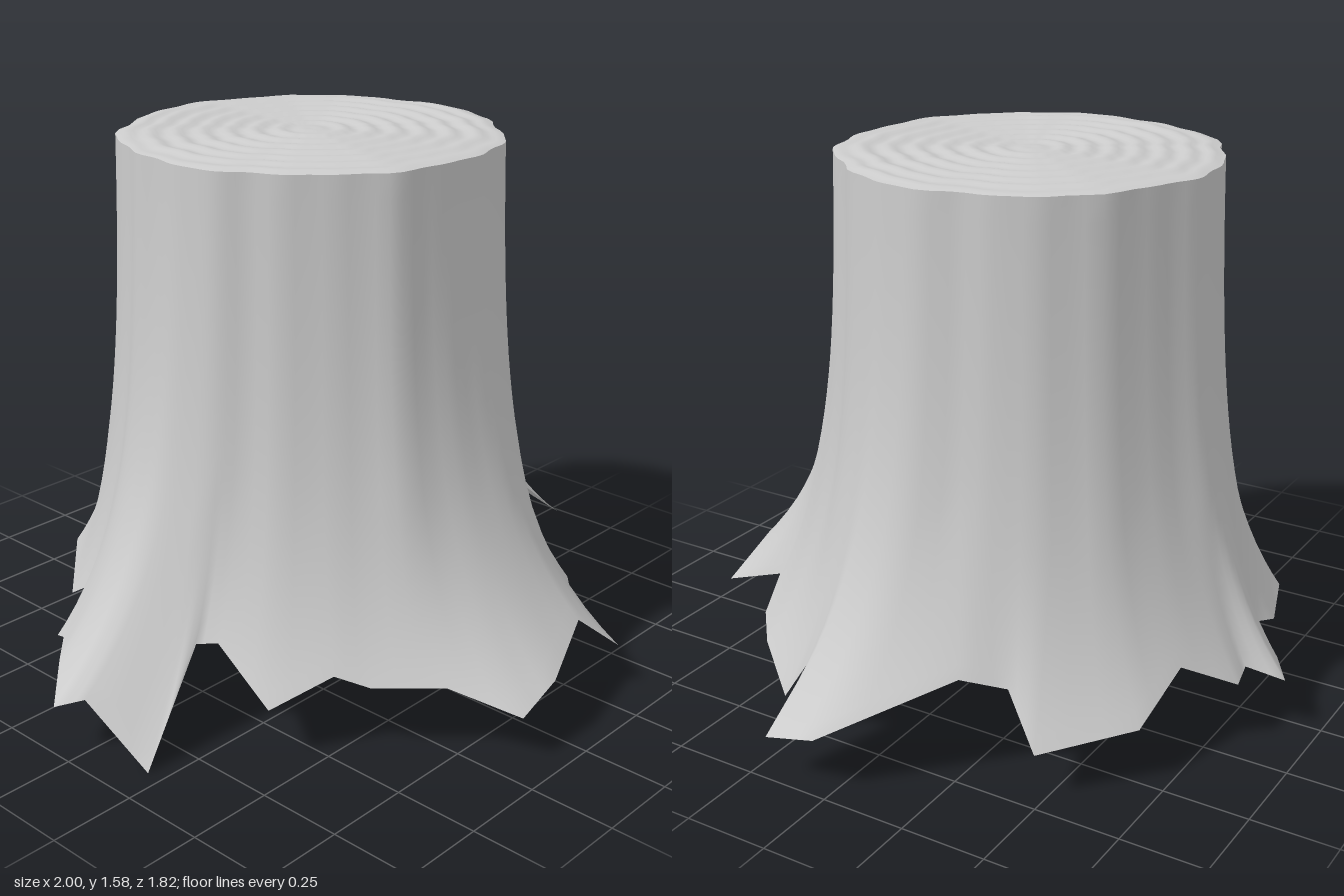
import * as THREE from 'three';

const CX = 0.02, CZ = -0.05;      // trunk axis
const TOP = 1.565, RADIUS = 0.532; // cut height and trunk radius

// Torn lower edge of the bark: x, z, y
const RIM = [
  [1.0, 0.03, 0.17], [1.0, 0.19, 0.13], [0.81, 0.17, 0.29], [0.78, 0.30, 0.11],
  [0.60, 0.51, 0.14], [0.46, 0.63, 0.14], [0.37, 0.64, 0.23], [0.34, 0.87, 0.14],
  [0.20, 0.82, 0.26], [-0.02, 0.90, 0.19], [-0.17, 0.905, 0.14], [-0.28, 0.73, 0.21],
  [-0.42, 0.58, 0.21], [-0.48, 0.50, 0.24], [-0.63, 0.40, 0.16], [-0.64, 0.22, 0.30],
  [-0.67, 0.165, 0.29], [-0.89, 0.20, 0.0], [-0.94, 0.01, 0.17], [-1.0, -0.05, 0.15],
  [-0.88, -0.17, 0.20], [-0.77, -0.29, 0.18], [-0.73, -0.37, 0.14], [-0.62, -0.33, 0.28],
  [-0.59, -0.47, 0.19], [-0.38, -0.70, 0.22], [-0.20, -0.76, 0.20], [-0.10, -0.74, 0.23],
  [0.01, -0.86, 0.20], [0.07, -0.91, 0.17], [0.12, -0.81, 0.21], [0.19, -0.82, 0.19],
  [0.33, -0.71, 0.28], [0.51, -0.68, 0.17], [0.72, -0.48, 0.14], [0.67, -0.37, 0.28],
  [0.74, -0.26, 0.31],
];

const lerp = THREE.MathUtils.lerp;
const flare = (y) => Math.exp(-2.5 * (y - 0.14));
const flute = (a) => 0.007 * Math.sin(7 * a) + 0.005 * Math.sin(13 * a + 1) + 0.004 * Math.sin(22 * a + 2);

// Weighted average of a closed list of numbers
function smooth(list, reach) {
  const n = list.length;
  return list.map((_, i) => {
    let sum = 0, total = 0;
    for (let k = -reach; k <= reach; k++) {
      const w = reach + 1 - Math.abs(k);
      sum += w * list[(i + k + n) % n];
      total += w;
    }
    return sum / total;
  });
}

// Surface from closed rings listed in order; the faces look out when the rings rise
function skin(rings) {
  const n = rings[0].length, index = [];
  for (let i = 0; i < rings.length - 1; i++) {
    for (let j = 0; j < n; j++) {
      const a = i * n + j, b = i * n + (j + 1) % n;
      index.push(a, a + n, b, b, a + n, b + n);
    }
  }
  const g = new THREE.BufferGeometry();
  g.setAttribute('position', new THREE.Float32BufferAttribute(rings.flat(2), 3));
  g.setIndex(index);
  g.computeVertexNormals();
  return g;
}

// Rings of the flared bark from the torn edge up to the cut
function barkRings() {
  const STEPS = 3, ROWS = 22, columns = [];
  RIM.forEach((p, i) => {
    const q = RIM[(i + 1) % RIM.length];
    for (let s = 0; s < STEPS; s++) {
      const [x, z, y] = p.map((v, k) => lerp(v, q[k], s / STEPS));
      const r = Math.hypot(x - CX, z - CZ);
      columns.push({ y, r, dx: (x - CX) / r, dz: (z - CZ) / r, spread: (r - RADIUS) / flare(y) });
    }
  });
  const dx = smooth(columns.map((c) => c.dx), 5);
  const dz = smooth(columns.map((c) => c.dz), 5);
  const spread = smooth(columns.map((c) => c.spread), 4);

  const rings = [];
  for (let i = 0; i <= ROWS; i++) {
    const t = i / ROWS, blend = Math.min(1, t * 2.5);
    rings.push(columns.map((c, j) => {
      const y = lerp(c.y, TOP, Math.pow(t, 1.15));
      const a = Math.atan2(lerp(c.dz, dz[j], blend), lerp(c.dx, dx[j], blend));
      const r = RADIUS + lerp(c.spread, spread[j], blend) * flare(y) + flute(a) * blend;
      return [CX + r * Math.cos(a), y, CZ + r * Math.sin(a)];
    }));
  }
  return rings;
}

// Rings of the cut face, rippled by growth rings, from the bark to the heart
function cutRings(edge) {
  const ROWS = 44, rings = [];
  for (let i = 0; i <= ROWS; i++) {
    const s = 1 - i / ROWS;
    rings.push(edge.map(([x, y, z]) => {
      const a = Math.atan2(z - CZ, x - CX);
      const wobble = 0.02 * Math.sin(3 * a + 1) + 0.012 * Math.sin(5 * a);
      const ripple = 0.004 * Math.sin((s + wobble * s) * Math.PI * 15);
      const lift = Math.min(1, (1 - s) * 12);
      return [lerp(CX, x, s), y + lift * (0.008 + ripple * Math.min(1, s * 6)), lerp(CZ, z, s)];
    }));
  }
  return rings;
}

export function createModel() {
  const group = new THREE.Group();
  group.name = 'treeStump';
  const material = new THREE.MeshStandardMaterial({ color: 0xcccccc, side: THREE.DoubleSide });

  const rings = barkRings();
  const bark = new THREE.Mesh(skin(rings), material);
  bark.name = 'bark';

  const cut = new THREE.Mesh(skin(cutRings(rings[rings.length - 1])), material);
  cut.name = 'cutFace';

  group.add(bark, cut);
  return group;
}
